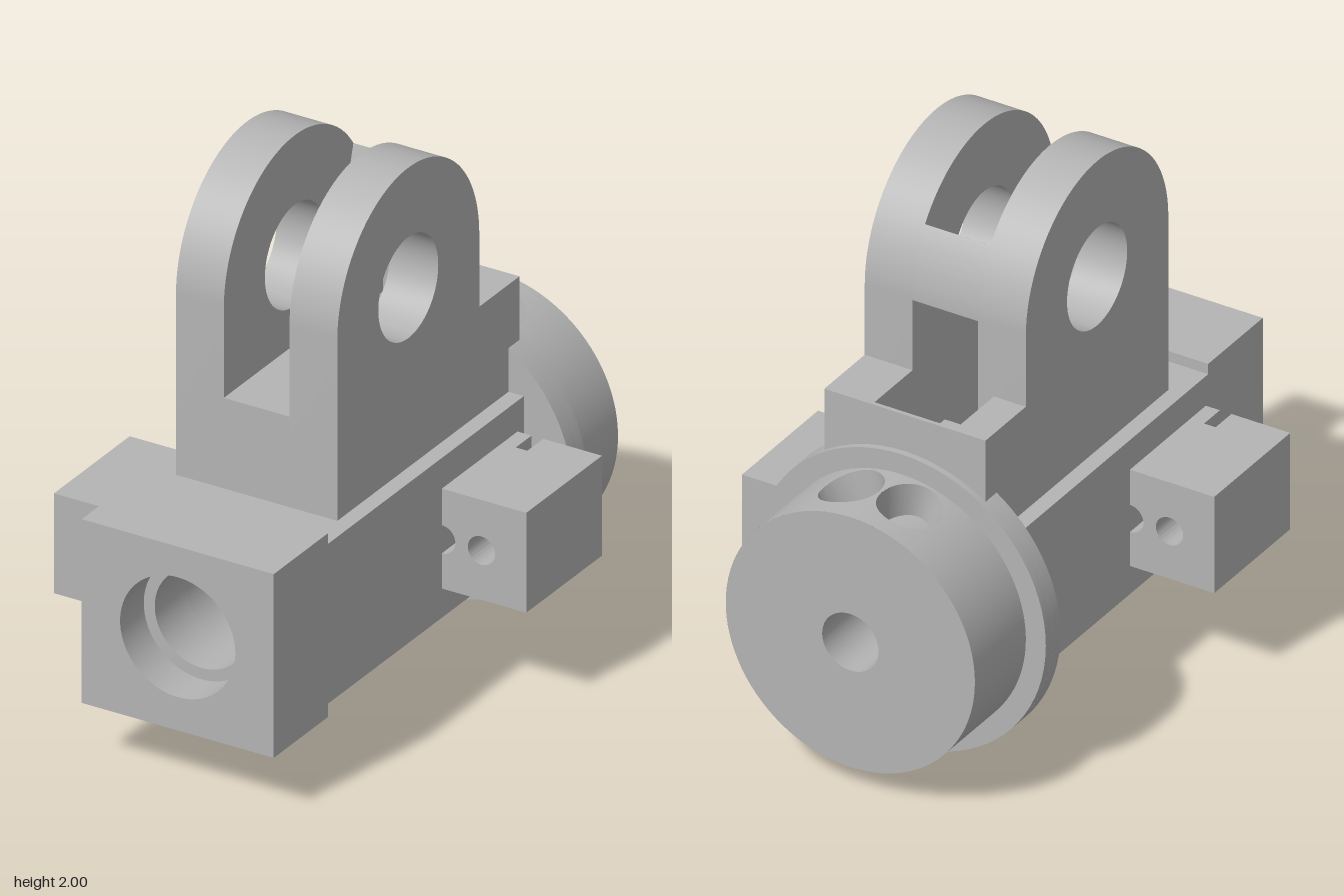
import * as THREE from 'three';
import { toCreasedNormals } from 'three/addons/utils/BufferGeometryUtils.js';

const CY = 0.565; // height of the bore and drum axis

export function createModel() {
  const model = new THREE.Group();
  const grey = new THREE.MeshStandardMaterial({ color: 0xb4b4b4, side: THREE.DoubleSide });
  grey.name = 'machined grey';

  const add = (name, geo, parent = model) => {
    const mesh = new THREE.Mesh(geo, grey);
    mesh.name = name;
    parent.add(mesh);
    return mesh;
  };
  const poly = (pts) => new THREE.Shape(pts.map((p) => new THREE.Vector2(p[0], p[1])));
  const rect = (x0, x1, y0, y1) => poly([[x0, y0], [x1, y0], [x1, y1], [x0, y1]]);
  const drill = (shape, x, y, r) => {
    shape.holes.push(new THREE.Path().absarc(x, y, r, 0, Math.PI * 2, true));
    return shape;
  };
  const extrude = (shape, z0, z1) => {
    const g = new THREE.ExtrudeGeometry(shape, { depth: z1 - z0, bevelEnabled: false, curveSegments: 40 });
    g.translate(0, 0, z0);
    return toCreasedNormals(g, 0.5);
  };
  // Profile drawn in (z, y), spanning x0..x1
  const extrudeX = (shape, x0, x1) => extrude(shape, -x1, -x0).rotateY(-Math.PI / 2);
  const box = (x0, x1, y0, y1, z0, z1) =>
    new THREE.BoxGeometry(x1 - x0, y1 - y0, z1 - z0)
      .translate((x0 + x1) / 2, (y0 + y1) / 2, (z0 + z1) / 2);

  // Body: stepped bore at the front
  const W = 0.375, G = 0.128;
  add('frontBlockMouth', extrude(drill(rect(-W, W, 0.22, 0.91), 0, 0.57, 0.225), 0.85, 1));
  add('frontBlock', extrude(drill(rect(-W, W, 0.22, 0.91), 0, 0.57, 0.182), 0.655, 0.85));
  add('bodyBore', extrude(drill(rect(-W, W, 0.27, 0.87), 0, 0.57, 0.182), 0.4, 0.655));
  add('bodyPilotHole', extrude(drill(rect(-W, W, 0.27, 0.87), -0.05, 0.585, 0.063), 0.15, 0.4));
  add('bodyCore', box(-W, W, 0.27, 0.87, 0.09, 0.15));

  // Body walls either side of the vertical shaft, notched underneath at the back
  for (const s of [-1, 1]) {
    const a = Math.min(s * G, s * W), b = Math.max(s * G, s * W);
    add('shaftWall', box(a, b, 0.27, 0.87, -0.43, 0.09));
  }
  add('notchedWallRight', extrude(poly([[-W, 0.27], [-0.22, 0.27], [-0.185, 0.38],
    [-G, 0.38], [-G, 0.87], [-W, 0.87]]), -0.585, -0.43));
  add('notchedWallLeft', box(G, W, 0.38, 0.87, -0.585, -0.43));

  // Clevis lugs
  const lug = poly([[-0.4, 0.87], [0.5, 0.87], [0.5, 1.545]]);
  lug.absarc(0.05, 1.545, 0.45, 0, Math.PI, false);
  lug.lineTo(-0.4, 0.87);
  drill(lug, 0.05, 1.545, 0.19);
  add('lugLeft', extrudeX(lug, G, 0.315));
  add('lugRight', extrudeX(lug, -0.315, -G));
  add('clevisFloor', box(-G, G, 0.87, 1.21, 0.09, 0.5));

  // Web bridging the lugs at the back
  const web = poly([[-0.25, 1.545], [-0.321, 1.8]]);
  web.absarc(0.05, 1.545, 0.45, Math.PI - 0.602, Math.PI, false);
  add('clevisWeb', extrudeX(web, -G, G));

  // Rear base of the clevis, with a side pocket
  add('rearBaseLeft', box(G, 0.315, 0.87, 1.272, -0.655, -0.4));
  add('rearBaseRight', box(-0.315, -0.19, 0.87, 1.272, -0.655, -0.4));
  add('rearBasePocketEnd', box(-0.19, -G, 0.87, 1.272, -0.655, -0.61));
  add('rearBaseWall', box(-G, G, 1.03, 1.272, -0.655, -0.64));

  // Side blocks: drilled, with a flared slot on the end face
  const sideBlock = (name) => {
    const g = new THREE.Group();
    g.name = name;
    const x0 = -0.705, x1 = -0.375, y0 = 0.38, y1 = 0.755, r = 0.053;
    const main = poly([[x1, y1], [x0, y1], [x0, y0], [x1, y0]]);
    main.absarc(x1, CY, r, -Math.PI / 2, -Math.PI * 1.5, true);
    add('blockMain', extrude(drill(main, -0.53, CY, r), 0.16, 0.54), g);
    const outer = poly([[x0, y0], [-0.535, y0], [-0.475, 0.53], [-0.475, y1], [x0, y1]]);
    add('blockOuterLip', extrude(drill(outer, -0.53, CY, r), 0.54, 0.64), g);
    const inner = poly([[x1, y1], [-0.43, y1], [-0.43, 0.53], [-0.385, y0], [x1, y0]]);
    add('blockInnerLip', extrude(inner, 0.54, 0.64), g);
    model.add(g);
    return g;
  };
  sideBlock('sideBlockRight');
  const leftBlock = sideBlock('sideBlockLeft');
  leftBlock.rotation.y = Math.PI;
  leftBlock.position.z = 0.095;

  // Flange: thin full disc behind two thicker cheeks
  const R = 0.565;
  const disc = new THREE.Shape().absarc(0, CY, R, 0, Math.PI * 2, false);
  add('flangeDisc', extrude(drill(disc, 0, CY, 0.11), -0.678, -0.638));
  for (const s of [-1, 1]) {
    const pts = [[G, 0.38], [0.185, 0.38]];
    for (let i = 0; i <= 40; i++) {
      const t = -1.052 + (i / 40) * (1.052 + 1.342);
      pts.push([R * Math.cos(t), CY + R * Math.sin(t)]);
    }
    add('flangeCheek', extrude(poly(pts.map((p) => [p[0] * s, p[1]])), -0.638, -0.585));
  }

  // Drum: wall, back face, bore
  const DR = 0.487, zf = -0.678, zb = -1, A = 0.5;
  const tube = (r, t0, len) => new THREE.CylinderGeometry(r, r, zf - zb, 80, 1, true, t0, len)
    .rotateX(-Math.PI / 2).translate(0, CY, (zf + zb) / 2);
  add('drumWall', tube(DR, A, Math.PI * 2 - 2 * A));
  add('drumBore', tube(0.11, 0, Math.PI * 2));
  add('drumBack', new THREE.RingGeometry(0.11, DR, 80).rotateY(Math.PI).translate(0, CY, zb));

  // Top of the drum with two radial sockets
  const pos = [];
  const P = (t, r, z) => [r * Math.sin(t), CY + r * Math.cos(t), z];
  const quad = (a, b, c, d) => pos.push(...a, ...b, ...c, ...a, ...c, ...d);
  const half = (t) => 0.12 * Math.sqrt(Math.max(0, 1 - ((Math.abs(t) - 0.24) / 0.23) ** 2));
  const zc = -0.81, floorR = 0.36;
  for (let i = 0; i < 100; i++) {
    const t = -A + i * 0.01, u = t + 0.01, h = half(t), k = half(u);
    quad(P(t, DR, zc + h), P(t, DR, zf), P(u, DR, zf), P(u, DR, zc + k));
    quad(P(t, DR, zb), P(t, DR, zc - h), P(u, DR, zc - k), P(u, DR, zb));
    if (h + k < 0.001) continue;
    quad(P(t, floorR, zc - h), P(t, floorR, zc + h), P(u, floorR, zc + k), P(u, floorR, zc - k));
    quad(P(t, floorR, zc + h), P(t, DR, zc + h), P(u, DR, zc + k), P(u, floorR, zc + k));
    quad(P(t, DR, zc - h), P(t, floorR, zc - h), P(u, floorR, zc - k), P(u, DR, zc - k));
  }
  // Winding is set so faces look outward
  for (let i = 0; i < pos.length; i += 9) {
    const b = pos.slice(i + 3, i + 6);
    for (let j = 0; j < 3; j++) {
      pos[i + 3 + j] = pos[i + 6 + j];
      pos[i + 6 + j] = b[j];
    }
  }
  for (let i = 0; i < pos.length; i += 9) {
    const a = new THREE.Vector3(...pos.slice(i, i + 3));
    const e = new THREE.Vector3(...pos.slice(i + 3, i + 6)).sub(a);
    const f = new THREE.Vector3(...pos.slice(i + 6, i + 9)).sub(a);
    const n = e.cross(f);
    const out = Math.abs(n.z) > Math.abs(n.y) ? n.z * (zc - a.z) : n.y;
    if (out < 0) for (let j = 3; j < 6; j++) [pos[i + j], pos[i + j + 3]] = [pos[i + j + 3], pos[i + j]];
  }
  const top = new THREE.BufferGeometry();
  top.setAttribute('position', new THREE.Float32BufferAttribute(pos, 3));
  top.computeVertexNormals();
  add('drumTopSockets', toCreasedNormals(top, 0.5));

  return model;
}
